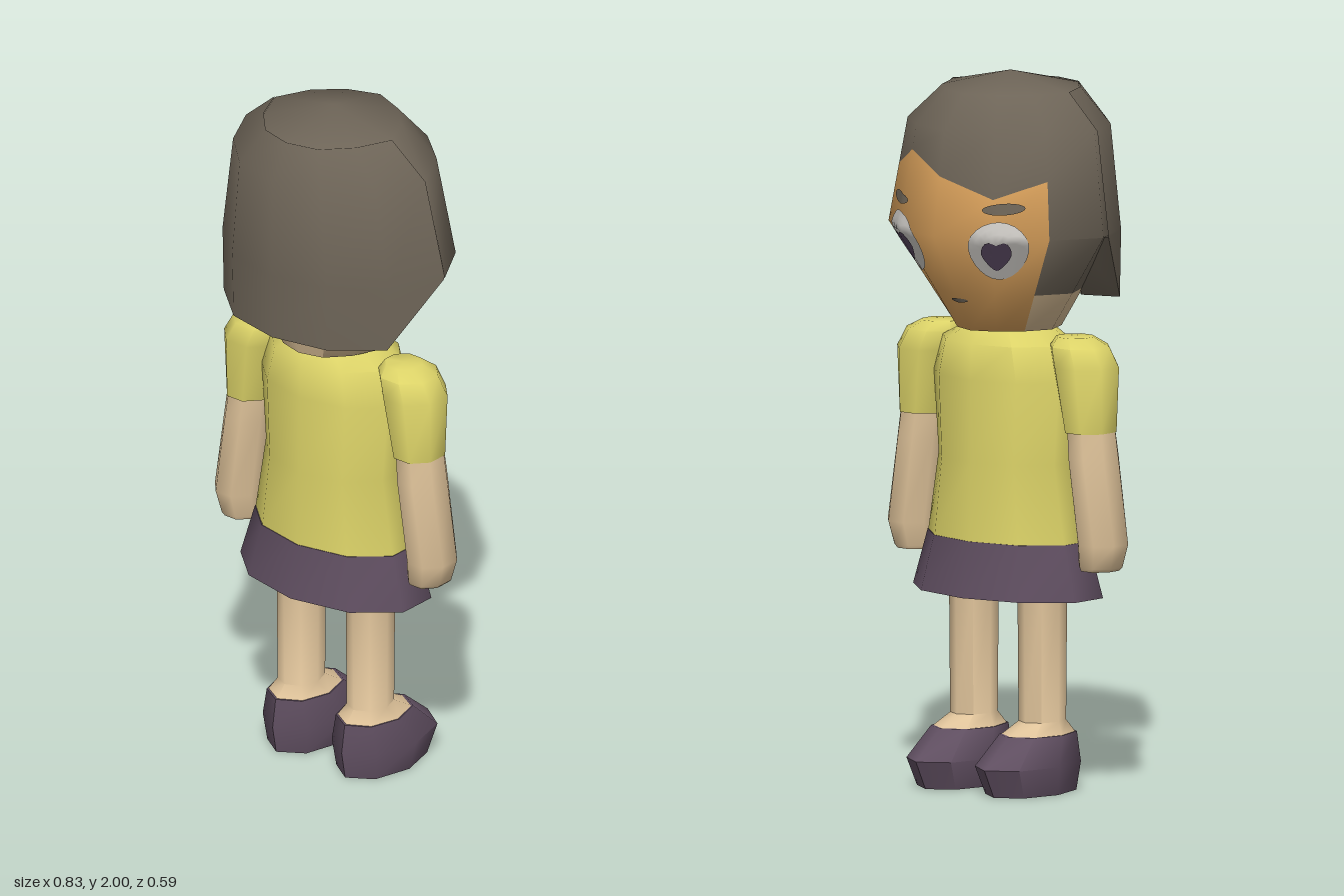
import * as THREE from 'three';
import { toCreasedNormals } from 'three/addons/utils/BufferGeometryUtils.js';

const mat = (name, color, side = THREE.FrontSide) => {
  const m = new THREE.MeshStandardMaterial({ color, side });
  m.name = name;
  return m;
};

// Joins rows of points (listed top to bottom) into a surface; zone(r, k) picks a material index.
function skin(rows, { wrap = true, zone = () => 0, crease = 1.0 } = {}) {
  const n = rows[0].length, zones = [];
  const tri = (list, a, b, c) => {
    if (a.distanceTo(b) > 1e-6 && b.distanceTo(c) > 1e-6 && a.distanceTo(c) > 1e-6)
      for (const p of [a, b, c]) list.push(p.x, p.y, p.z);
  };
  for (let r = 0; r < rows.length - 1; r++) {
    for (let k = 0; k < (wrap ? n : n - 1); k++) {
      const list = (zones[zone(r, k)] ??= []), j = (k + 1) % n;
      const a = rows[r][k], b = rows[r][j], c = rows[r + 1][k], d = rows[r + 1][j];
      tri(list, a, b, d);
      tri(list, a, d, c);
    }
  }
  const geo = new THREE.BufferGeometry(), all = [];
  zones.forEach((list, i) => {
    geo.addGroup(all.length / 3, list.length / 3, i);
    for (const v of list) all.push(v);
  });
  geo.setAttribute('position', new THREE.Float32BufferAttribute(all, 3));
  return toCreasedNormals(geo, crease);
}

// Closed loft through elliptical rings [y, centreX, radiusX, zFront, zBack].
function loft(rings, n, phase = 0) {
  const s = 1 / Math.cos(phase);
  const rows = rings.map(([y, cx, rx, zf, zb]) => Array.from({ length: n }, (_, k) => {
    const a = (k / n) * Math.PI * 2 + phase;
    return new THREE.Vector3(cx + s * rx * Math.sin(a), y, (zf + zb) / 2 - s * (zb - zf) / 2 * Math.cos(a));
  }));
  const cap = ([y, cx, , zf, zb]) => Array(n).fill(new THREE.Vector3(cx, y, (zf + zb) / 2));
  return skin([cap(rings[0]), ...rows, cap(rings[rings.length - 1])]);
}

// Head cross-section, column 0 at the face, going round by the model's +x side.
const COL_X = [0, 0.45, 0.79, 1, 0.79, 0.45, 0, -0.45, -0.79, -1, -0.79, -0.45];
const COL_Z = [-1, -0.82, -0.48, 0, 0.5, 0.88, 1, 0.88, 0.5, 0, -0.48, -0.82];
const HEAD = [ // y, radiusX, zFront, zBack
  [2.0, 0, 0.03, 0.03], [1.955, 0.21, -0.17, 0.23], [1.86, 0.32, -0.25, 0.28],
  [1.57, 0.372, -0.295, 0.28], [1.29, 0.16, -0.14, 0.18],
];
const ringPoint = (k, [y, rx, zf, zb]) =>
  new THREE.Vector3(rx * COL_X[k], y, (zf + zb) / 2 + (zb - zf) / 2 * COL_Z[k]);

function headColumn(k, y) {
  let i = 0;
  while (i < HEAD.length - 2 && y < HEAD[i + 1][0]) i++;
  const t = (HEAD[i][0] - y) / (HEAD[i][0] - HEAD[i + 1][0]);
  return ringPoint(k, HEAD[i]).lerp(ringPoint(k, HEAD[i + 1]), t);
}

function headPoint(u, y, lift) {
  const k = Math.floor(u), p = headColumn((k + 12) % 12, y).lerp(headColumn((k + 13) % 12, y), u - k);
  p.x *= 1 + lift;
  p.z = 0.01 + (p.z - 0.01) * (1 + lift);
  return p;
}

// Thin painted patch that follows the face surface.
function patch(u, y, ru, ry, lift, shape = () => 1, tilt = 0) {
  const rows = [];
  for (let r = 0; r <= 5; r++) {
    rows.push(Array.from({ length: 24 }, (_, i) => {
      const a = (i / 24) * Math.PI * 2, q = (r / 5) * shape(a);
      const du = ru * q * Math.cos(a);
      return headPoint(u + du, y + ry * q * Math.sin(a) + tilt * du, lift);
    }));
  }
  return skin(rows, { crease: 1.2 });
}

export function createModel() {
  const hair = mat('hair', 0x6d6457, THREE.DoubleSide);
  const face = mat('face', 0xdba25c);
  const skinTone = mat('skin', 0xdfc39a);
  const shirt = mat('shirt', 0xdcd368);
  const purple = mat('purple cloth', 0x5f4e60);
  const eyeWhite = mat('eye white', 0xd0cdc8, THREE.DoubleSide);
  const iris = mat('iris', 0x584860, THREE.DoubleSide);

  const model = new THREE.Group();
  model.name = 'girl';
  const add = (name, geo, material) => {
    const m = new THREE.Mesh(geo, material);
    m.name = name;
    model.add(m);
  };

  // Head with slanted fringe line
  const fringe = [1.735, 1.79, 1.73, 1.73, 1.73, 1.73, 1.73, 1.73, 1.73, 1.73, 1.73, 1.68];
  const cols = [...COL_X.keys()];
  const headRows = [2.0, 1.955, 1.86, null, 1.57, 1.4, 1.29].map(y => cols.map(k => headColumn(k, y ?? fringe[k])));
  headRows.push(Array(12).fill(new THREE.Vector3(0, 1.29, 0.02)));
  const isFace = k => k < 2 || k > 9;
  add('head', skin(headRows, {
    crease: 1.15,
    zone: (r, k) => (r < 3 ? 0 : r === 6 ? 2 : isFace(k) ? 1 : r < 5 ? 0 : 2),
  }), [hair, face, skinTone]);

  // Back hair shell, swept up at the sides, with a lip underneath
  const shellCols = [3, 4, 5, 6, 7, 8, 9];
  const shell = [
    [1.957, 0.212, -0.17, 0.232], [1.86, 0.325, -0.25, 0.292], [1.57, 0.38, -0.29, 0.297],
    [1.38, 0.375, -0.28, 0.293], [1.38, 0.24, -0.19, 0.21],
  ];
  add('backHair', skin(shell.map((ring, r) => shellCols.map(k => {
    const side = k === 3 || k === 9;
    const p = ringPoint(k, ring);
    if (side && r === 2) p.y = 1.58;
    if (side && r > 2) p.y = 1.57;
    if (side && r === 3) p.x = Math.sign(p.x) * 0.379;
    return p;
  })), { wrap: false, crease: 1.15 }), hair);

  // Facial features
  const heart = a => 1 - 0.4 * Math.max(0, Math.sin(a)) ** 10 - 0.3 * Math.abs(Math.cos(a)) * Math.max(0, -Math.sin(a));
  for (const [s, side] of [[1, 'left'], [-1, 'right']]) {
    add(side + 'Eye', patch(s * 1.12, 1.535, 0.55, 0.085, 0.02), eyeWhite);
    add(side + 'Iris', patch(s * 1.08, 1.525, 0.28, 0.048, 0.035, heart), iris);
    add(side + 'Eyebrow', patch(s * 1.2, 1.655, 0.38, 0.016, 0.025, undefined, s * 0.01), hair);
  }
  add('mouth', patch(0, 1.38, 0.28, 0.006, 0.02), hair);

  // Torso and skirt
  add('shirt', loft([
    [1.29, 0, 0.13, -0.09, 0.14], [1.25, 0, 0.205, -0.135, 0.17], [1.15, 0, 0.24, -0.14, 0.178],
    [0.92, 0, 0.222, -0.14, 0.18], [0.7, 0, 0.26, -0.145, 0.185],
  ], 10), shirt);
  add('skirt', loft([[0.7, 0, 0.262, -0.147, 0.187], [0.545, 0, 0.31, -0.175, 0.215]], 10), purple);

  // Limbs, one of each per side
  for (const [s, side] of [[1, 'left'], [-1, 'right']]) {
    add(side + 'Sleeve', loft([
      [1.28, s * 0.245, 0.05, -0.03, 0.07], [1.255, s * 0.262, 0.08, -0.06, 0.1],
      [1.2, s * 0.285, 0.088, -0.07, 0.11], [1.02, s * 0.302, 0.067, -0.056, 0.096],
    ], 8, Math.PI / 8), shirt);
    add(side + 'Arm', loft([
      [1.04, s * 0.302, 0.062, -0.05, 0.09], [0.95, s * 0.312, 0.064, -0.055, 0.095],
      [0.71, s * 0.347, 0.066, -0.053, 0.092], [0.645, s * 0.338, 0.058, -0.04, 0.08],
      [0.635, s * 0.335, 0.05, -0.035, 0.075],
    ], 8, Math.PI / 8), skinTone);
    add(side + 'Leg', loft([
      [0.57, s * 0.125, 0.062, -0.057, 0.097], [0.195, s * 0.125, 0.06, -0.053, 0.093],
      [0.16, s * 0.125, 0.088, -0.12, 0.125],
    ], 8), skinTone);
    add(side + 'Shoe', loft([
      [0.162, s * 0.125, 0.09, -0.125, 0.13], [0.08, s * 0.125, 0.115, -0.225, 0.143],
      [0, s * 0.125, 0.1, -0.185, 0.128],
    ], 8), purple);
  }
  return model;
}
